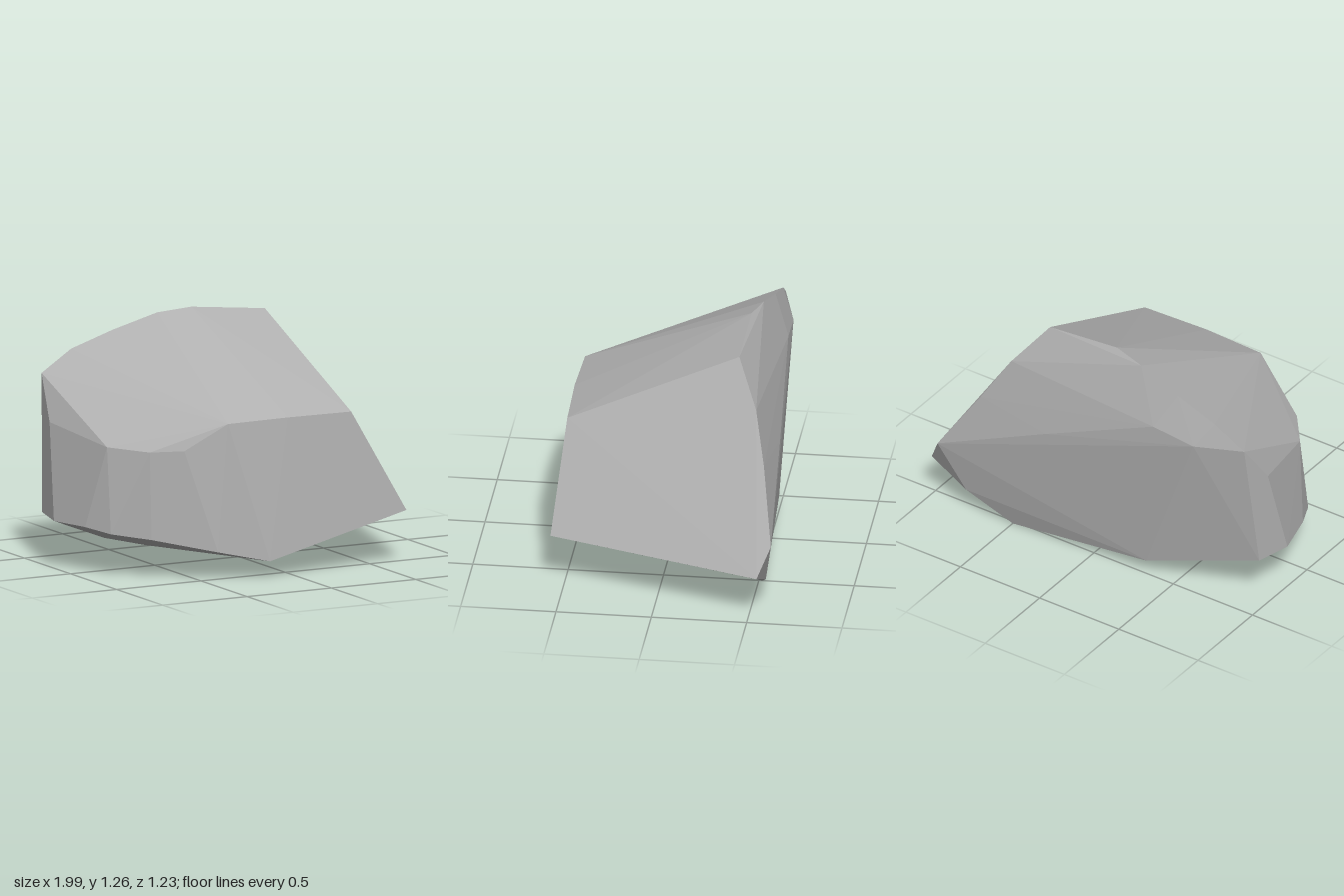
import * as THREE from 'three';
import { ConvexGeometry } from 'three/addons/geometries/ConvexGeometry.js';

// Corners of the boulder, grouped by the facet edge they belong to
const crest = [
  [0.36, 1.22, -0.38], [-0.07, 1.265, -0.39], [-0.25, 1.245, -0.43],
  [-0.5, 1.17, -0.46], [-0.74, 1.09, -0.47], [-0.92, 0.98, -0.46],
];
const frontBrow = [
  [0.38, 0.82, 0.52], [0, 0.825, 0.53], [-0.35, 0.82, 0.52],
  [-0.56, 0.68, 0.43], [-0.71, 0.67, 0.33], [-0.86, 0.68, 0.14],
];
const backRidge = [
  [0.53, 1.0, -0.49], [0.68, 0.75, -0.55], [0.91, 0.4, -0.615],
  [0.25, 0.7, -0.58], [-0.4, 0.98, -0.54], [-0.65, 0.95, -0.535],
];
const leftFlank = [
  [-0.96, 0.75, -0.3], [-1, 0.25, -0.18], [-0.96, 0.26, -0.38],
  [-0.94, 0.25, 0.05], [-0.87, 0.23, 0.2], [-0.71, 0.21, 0.35],
];
const base = [
  [0.68, 0.28, 0.57], [0.99, 0.25, -0.55], [0.76, 0.14, -0.57],
  [0.5, 0, -0.52], [-0.15, 0.09, 0.61], [-0.42, 0.15, 0.54],
  [-0.18, 0.02, -0.3], [-0.33, 0.08, -0.5], [-0.5, 0.09, -0.1],
  [-0.77, 0.16, -0.06],
];

export function createModel() {
  const group = new THREE.Group();
  group.name = 'boulder';

  const stone = new THREE.MeshStandardMaterial({ color: 0xb0b0b0 });
  stone.name = 'grey stone';

  // Faceted stone body spanning all the corners, with hard edges
  const points = [crest, frontBrow, backRidge, leftFlank, base]
    .flat()
    .map((p) => new THREE.Vector3(...p));
  const rock = new THREE.Mesh(new ConvexGeometry(points), stone);
  rock.name = 'rock';
  group.add(rock);
  return group;
}
